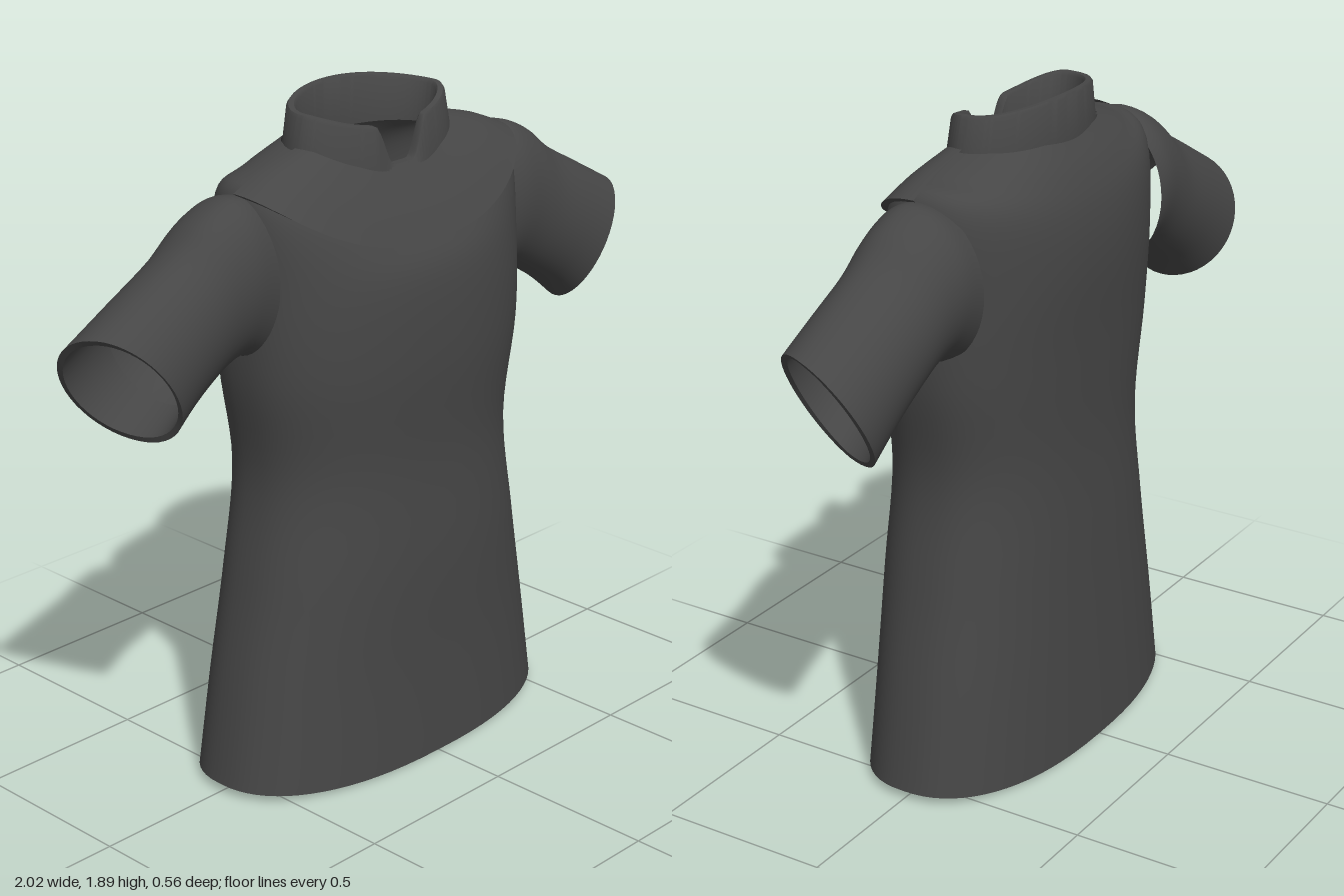
import * as THREE from 'three';
import { toCreasedNormals } from 'three/addons/utils/BufferGeometryUtils.js';

const fabric = new THREE.MeshStandardMaterial({ color: 0x464646, side: THREE.DoubleSide });
fabric.name = 'charcoal fabric';

// Catmull-Rom subdivision of a list of section rows
function smooth(rows, steps) {
  const out = [];
  for (let i = 0; i < rows.length - 1; i++) {
    const a = rows[Math.max(i - 1, 0)], b = rows[i], c = rows[i + 1], d = rows[Math.min(i + 2, rows.length - 1)];
    for (let k = 0; k < steps; k++) {
      const t = k / steps;
      out.push(b.map((v, j) => v + 0.5 * t * (c[j] - a[j] + t * (2 * a[j] - 5 * v + 4 * c[j] - d[j] + t * (3 * (v - c[j]) + d[j] - a[j])))));
    }
  }
  out.push(rows[rows.length - 1]);
  return out;
}

// Skin a list of sections; pointAt(row, angle, rowIndex) returns [x, y, z]
function loft(name, rows, pointAt, segments, sweep = Math.PI * 2) {
  const positions = [], index = [], stride = segments + 1, closed = sweep > 6;
  rows.forEach((row, r) => {
    for (let i = 0; i <= segments; i++) positions.push(...pointAt(row, sweep * i / segments, r));
  });
  const col = i => (closed ? i % segments : i);
  for (let r = 0; r < rows.length - 1; r++) {
    for (let i = 0; i < segments; i++) {
      const a = r * stride + col(i), b = r * stride + col(i + 1);
      index.push(a, a + stride, b, b, a + stride, b + stride);
    }
  }
  const geometry = new THREE.BufferGeometry();
  geometry.setAttribute('position', new THREE.Float32BufferAttribute(positions, 3));
  geometry.setIndex(index);
  const mesh = new THREE.Mesh(toCreasedNormals(geometry, 0.8), fabric);
  mesh.name = name;
  return mesh;
}

// Horizontal section: [halfWidth, zFront, zBack, yFront, ySide, yBack]
const bodyPoint = n => ([a, zf, zb, yf, ys, yb], t) => {
  const c = Math.cos(t), s = Math.sin(t), e = 2 / n;
  return [
    a * Math.sign(c) * Math.abs(c) ** e,
    ys + ((s > 0 ? yf : yb) - ys) * s * s,
    (s > 0 ? zf : zb) * Math.abs(s) ** e,
  ];
};

function makeTorso() {
  const outer = smooth([
    [0.597, 0.28, -0.275, 0.004, 0.025, 0],
    [0.55, 0.272, -0.262, 0.3, 0.3, 0.3],
    [0.492, 0.272, -0.25, 0.6, 0.6, 0.6],
    [0.45, 0.26, -0.241, 0.9, 0.9, 0.9],
    [0.49, 0.275, -0.252, 1.19, 1.19, 1.19],
    [0.495, 0.264, -0.266, 1.42, 1.44, 1.44],
    [0.488, 0.222, -0.254, 1.53, 1.69, 1.59],
    [0.39, 0.175, -0.217, 1.61, 1.735, 1.695],
    [0.27, 0.13, -0.165, 1.7, 1.775, 1.775],
  ], 6);
  // turned-in hem
  const hem = [
    [0.56, 0.258, -0.25, 0.12, 0.12, 0.12],
    [0.58, 0.263, -0.258, 0.008, 0.028, 0.004],
  ];
  return loft('torso', [...hem, ...outer], bodyPoint(2.4), 72);
}

function makeYoke() {
  const lip = [0.482, 0.215, 0, 1.532, 1.69, 1.69];
  const top = smooth([
    [0.502, 0.245, 0, 1.523, 1.705, 1.705],
    [0.4, 0.195, 0, 1.612, 1.747, 1.747],
    [0.27, 0.132, 0, 1.705, 1.782, 1.782],
  ], 6);
  return loft('frontYoke', [lip, ...top], bodyPoint(2.4), 48, Math.PI);
}

function makeCollar() {
  const rows = [
    [0.282, 0.142, -0.172, 1.685, 1.76, 1.762],
    [0.264, 0.127, -0.166, 1.808, 1.857, 1.883],
    [0.258, 0.122, -0.161, 1.816, 1.865, 1.89],
    [0.242, 0.107, -0.147, 1.816, 1.865, 1.89],
    [0.235, 0.102, -0.141, 1.808, 1.857, 1.883],
    [0.222, 0.1, -0.138, 1.68, 1.75, 1.75],
  ];
  const section = bodyPoint(2);
  // the upper edge dips into a U-shaped notch at the front
  return loft('standCollar', rows, (row, t, r) => {
    const p = section(row, t);
    if (r > 0 && r < 5 && p[2] > 0) {
      const open = 1 - THREE.MathUtils.smoothstep(Math.abs(p[0]), 0.035, 0.095);
      p[1] += (1.71 - p[1]) * open;
    }
    return p;
  }, 160);
}

function makeSleeve(side) {
  // [xTop, yTop, xBottom, yBottom, zFront, zBack, cuffSlant]
  const outer = smooth([
    [0.46, 1.69, 0.46, 1.25, 0.125, -0.185, 0],
    [0.53, 1.7, 0.52, 1.27, 0.13, -0.183, 0],
    [0.62, 1.662, 0.58, 1.255, 0.128, -0.175, 0],
    [0.71, 1.592, 0.655, 1.215, 0.13, -0.168, 0.01],
    [0.85, 1.515, 0.73, 1.165, 0.138, -0.165, 0.03],
    [0.997, 1.435, 0.8, 1.106, 0.146, -0.163, 0.055],
  ], 5);
  // turned-in cuff
  const cuff = [
    [0.985, 1.42, 0.807, 1.122, 0.13, -0.147, 0.055],
    [0.83, 1.5, 0.73, 1.19, 0.122, -0.148, 0.03],
  ];
  return loft(side > 0 ? 'leftSleeve' : 'rightSleeve', [...outer, ...cuff], ([xt, yt, xb, yb, zf, zb, slant], t) => {
    const c = Math.cos(t), s = -side * Math.sin(t);
    const x = (xt + xb) / 2 + c * (xt - xb) / 2 - s * slant * 0.86;
    const y = (yt + yb) / 2 + c * (yt - yb) / 2 + s * slant * 0.52;
    return [side * x, y, s > 0 ? zf * s : -zb * s];
  }, 48);
}

export function createModel() {
  const shirt = new THREE.Group();
  shirt.name = 'shirt';
  shirt.add(makeTorso(), makeYoke(), makeCollar(), makeSleeve(1), makeSleeve(-1));
  return shirt;
}
